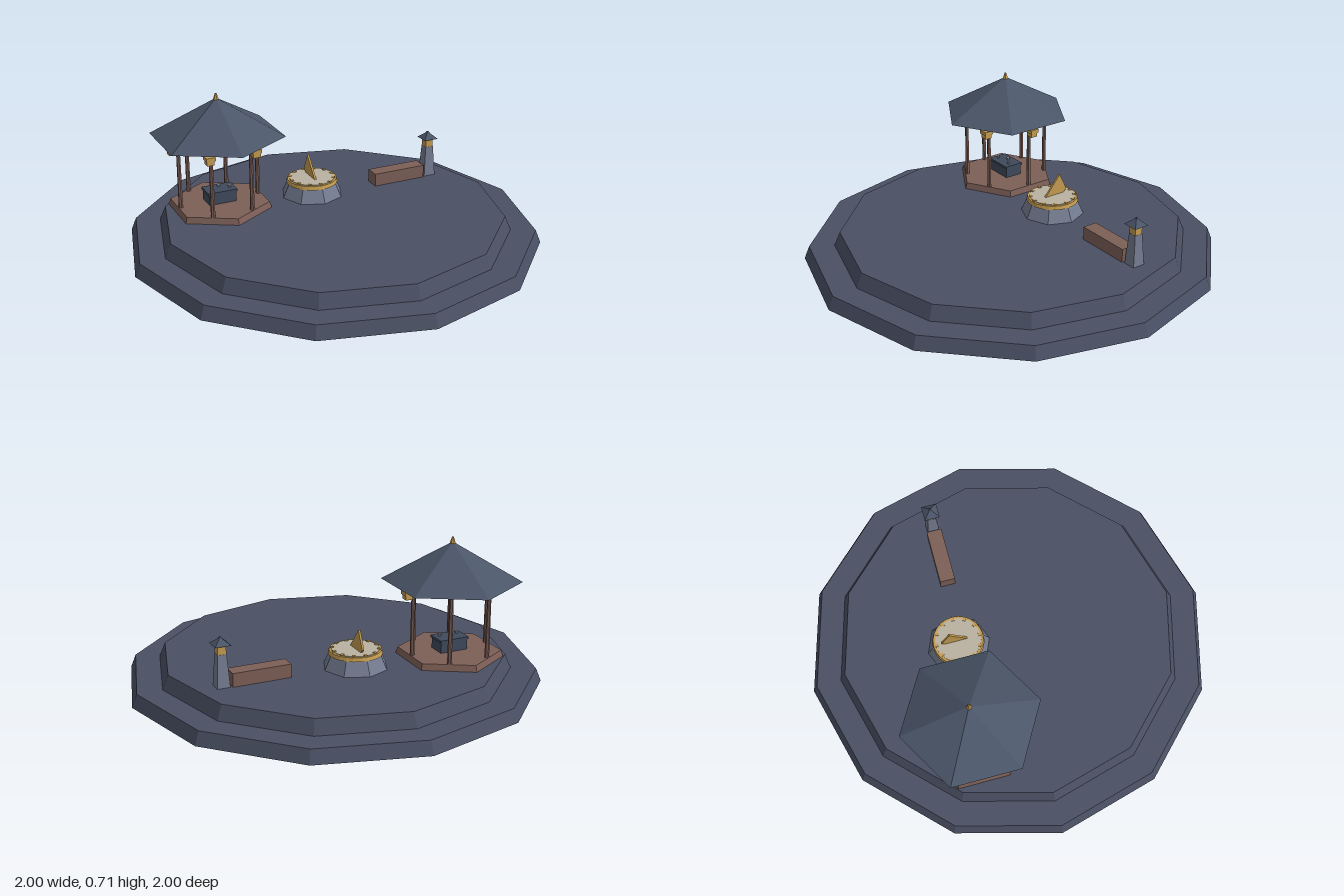
import * as THREE from 'three';

const mat = (name, color) => {
  const m = new THREE.MeshStandardMaterial({ color, flatShading: true });
  m.name = name;
  return m;
};

export function createModel() {
  const slate = mat('slate ground', 0x4a5064);
  const roofBlue = mat('roof blue', 0x4a5568);
  const wood = mat('red wood', 0x7d5f57);
  const stone = mat('grey stone', 0x747c90);
  const gold = mat('gold', 0xc49c50);
  const ivory = mat('ivory', 0xbab2a2);
  const dark = mat('dark table', 0x3f4a5c);
  const pale = mat('pale cup', 0x9aa3ad);

  const group = (name, parent, x = 0, y = 0, z = 0) => {
    const g = new THREE.Group();
    g.name = name;
    g.position.set(x, y, z);
    parent.add(g);
    return g;
  };
  const add = (parent, name, geo, material, x = 0, y = 0, z = 0) => {
    const mesh = new THREE.Mesh(geo, material);
    mesh.name = name;
    mesh.position.set(x, y, z);
    parent.add(mesh);
    return mesh;
  };
  // Prism or frustum standing between heights y0 and y1
  const prism = (parent, name, material, rBottom, rTop, y0, y1, sides, x = 0, z = 0) =>
    add(parent, name, new THREE.CylinderGeometry(rTop, rBottom, y1 - y0, sides), material, x, (y0 + y1) / 2, z);
  // Square frustum given by half widths
  const square = (parent, name, material, hBottom, hTop, y0, y1) => {
    const mesh = prism(parent, name, material, hBottom * Math.SQRT2, hTop * Math.SQRT2, y0, y1, 4);
    mesh.rotation.y = Math.PI / 4;
    return mesh;
  };

  const model = new THREE.Group();
  model.name = 'courtyard';

  // Two-step twelve-sided plaza
  prism(model, 'lowerTier', slate, 1, 0.975, 0, 0.062, 12);
  prism(model, 'upperTier', slate, 0.855, 0.825, 0.06, 0.13, 12);

  // Six-sided pavilion
  const pavilion = group('pavilion', model, -0.47, 0, -0.303);
  prism(pavilion, 'floor', wood, 0.255, 0.245, 0.13, 0.16, 6);
  prism(pavilion, 'roof', roofBlue, 0.33, 0.012, 0.5, 0.68, 6);
  prism(pavilion, 'finialBase', gold, 0.016, 0.012, 0.67, 0.685, 6);
  prism(pavilion, 'finial', gold, 0.012, 0.004, 0.685, 0.71, 6);
  for (let i = 0; i < 6; i++) {
    const a = (i * Math.PI) / 3, c = Math.cos(a), s = Math.sin(a);
    prism(pavilion, 'post', wood, 0.011, 0.009, 0.16, 0.53, 6, 0.2 * c, 0.175 / 0.866 * s);
    // Lanterns hang at the sides and front only
    if (i > 3) continue;
    const lantern = group('lantern', pavilion, 0.23 * c, 0, 0.23 * s);
    add(lantern, 'lanternCap', new THREE.BoxGeometry(0.046, 0.018, 0.046), gold, 0, 0.47, 0);
    add(lantern, 'lanternBody', new THREE.BoxGeometry(0.036, 0.022, 0.036), gold, 0, 0.45, 0);
  }

  // Low table with cups
  const table = group('table', pavilion);
  add(table, 'tableBody', new THREE.BoxGeometry(0.14, 0.055, 0.09), dark, 0, 0.188, 0);
  add(table, 'tableTop', new THREE.BoxGeometry(0.15, 0.012, 0.1), dark, 0, 0.218, 0);
  for (const i of [-1, 0, 1])
    prism(table, 'cup', pale, 0.006, 0.009, 0.224, 0.237, 6, i * 0.046, i ? 0.015 : -0.015);

  // Sundial on an eight-sided plinth
  const sundial = group('sundial', model, 0, 0, -0.25);
  prism(sundial, 'plinth', stone, 0.155, 0.125, 0.13, 0.197, 8);
  prism(sundial, 'dialRim', gold, 0.128, 0.123, 0.197, 0.215, 24);
  prism(sundial, 'dialFace', ivory, 0.112, 0.112, 0.212, 0.218, 24);
  for (let i = 0; i < 12; i++) {
    const a = (i * Math.PI) / 6;
    const mark = add(sundial, 'hourMark', new THREE.BoxGeometry(0.014, 0.008, 0.016), gold,
      0.108 * Math.sin(a), 0.217, 0.108 * Math.cos(a));
    mark.rotation.y = a;
  }
  const blade = new THREE.Shape([[0.05, 0.212], [-0.06, 0.212], [-0.083, 0.235], [-0.04, 0.32]]
    .map(([z, y]) => new THREE.Vector2(z, y)));
  const bladeGeo = new THREE.ExtrudeGeometry(blade, { depth: 0.01, bevelEnabled: false });
  bladeGeo.translate(0, 0, -0.005).rotateY(-Math.PI / 2);
  add(sundial, 'gnomon', bladeGeo, gold);

  // Bench
  add(model, 'bench', new THREE.BoxGeometry(0.28, 0.065, 0.075), wood, 0.465, 0.1625, -0.222);

  // Lamp beside the bench
  const lamp = group('lamp', model, 0.646, 0, -0.222);
  square(lamp, 'lampPost', stone, 0.031, 0.021, 0.13, 0.285);
  square(lamp, 'lampLight', gold, 0.02, 0.02, 0.285, 0.33);
  square(lamp, 'lampRoof', roofBlue, 0.038, 0.008, 0.328, 0.355);
  square(lamp, 'lampTip', roofBlue, 0.008, 0.004, 0.355, 0.363);

  return model;
}
